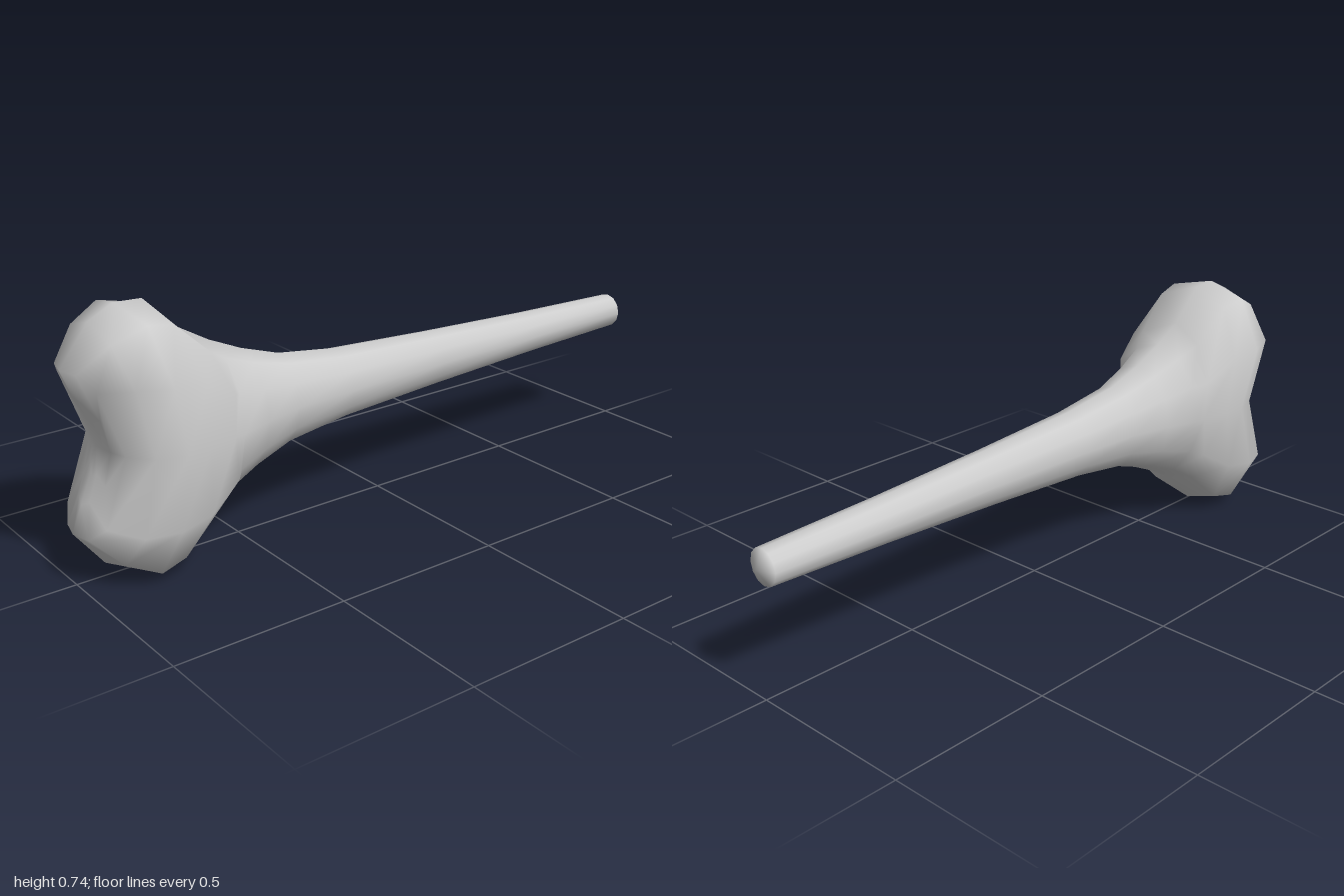
import * as THREE from 'three';

const MID_Y = 0.374;

// Shaft rings: z, half width, half height
const SHAFT = [
  [-0.977, 0.052, 0.053],
  [-0.6, 0.062, 0.065],
  [-0.2, 0.072, 0.084],
  [0.15, 0.088, 0.104],
  [0.35, 0.102, 0.132],
  [0.47, 0.133, 0.172],
  [0.57, 0.168, 0.217],
];

// Head rings, one quadrant each, from the side to the top: [x, height above axis, z]
const HEAD = [
  [[0.172, 0, 0.6], [0.178, 0.12, 0.6], [0.11, 0.225, 0.63], [0, 0.27, 0.66]],
  [[0.195, 0, 0.69], [0.207, 0.18, 0.7], [0.125, 0.325, 0.74], [0, 0.368, 0.76]],
  [[0.202, 0, 0.76], [0.22, 0.195, 0.8], [0.137, 0.341, 0.82], [0, 0.372, 0.84]],
  [[0.175, 0, 0.84], [0.19, 0.2, 0.89], [0.11, 0.3, 0.91], [0, 0.335, 0.915]],
  [[0.11, 0, 0.89], [0.11, 0.185, 0.957], [0.06, 0.225, 0.985], [0, 0.225, 1]],
  [[0.06, 0, 0.906], [0.06, 0.09, 0.928], [0.03, 0.135, 0.96], [0, 0.15, 0.97]],
  [[0.03, 0, 0.912], [0.03, 0.045, 0.92], [0.015, 0.07, 0.928], [0, 0.08, 0.932]],
];

// Mirror a quadrant of four points into a full ring of twelve
function fullRing([a, b, c, d]) {
  const flip = ([x, y, z], sx, sy) => [x * sx, y * sy, z];
  return [
    a, b, c, d,
    flip(c, -1, 1), flip(b, -1, 1), flip(a, -1, 1), flip(b, -1, -1),
    flip(c, -1, -1), flip(d, 1, -1), flip(c, 1, -1), flip(b, 1, -1),
  ];
}

function ellipseQuadrant([z, rx, ry]) {
  return [0, 1, 2, 3].map((i) => {
    const t = (i * Math.PI) / 6;
    return [rx * Math.cos(t), ry * Math.sin(t), z];
  });
}

// Closed skin over the rings, with a pole at each end
function skin(rings, backZ, frontZ) {
  const n = rings[0].length;
  const points = [...rings.flat(), [0, 0, backZ], [0, 0, frontZ]];
  const back = points.length - 2;
  const front = points.length - 1;
  const last = (rings.length - 1) * n;
  const index = [];
  for (let j = 0; j < n; j++) {
    const k = (j + 1) % n;
    index.push(back, k, j, front, last + j, last + k);
    for (let i = 0; i < last; i += n) {
      index.push(i + j, i + k, i + n + j, i + k, i + n + k, i + n + j);
    }
  }
  const geometry = new THREE.BufferGeometry();
  geometry.setAttribute('position', new THREE.Float32BufferAttribute(points.flat(), 3));
  geometry.setIndex(index);
  geometry.computeVertexNormals();
  return geometry;
}

export function createModel() {
  const group = new THREE.Group();
  group.name = 'bone';
  const boneGrey = new THREE.MeshStandardMaterial({ color: 0xcccccc });
  boneGrey.name = 'bone grey';

  // Tapering shaft flowing into the two-knobbed head
  const rings = [...SHAFT.map(ellipseQuadrant), ...HEAD].map(fullRing);
  const bone = new THREE.Mesh(skin(rings, -1, 0.915), boneGrey);
  bone.name = 'shaftAndKnobs';
  bone.position.y = MID_Y;
  group.add(bone);
  return group;
}
